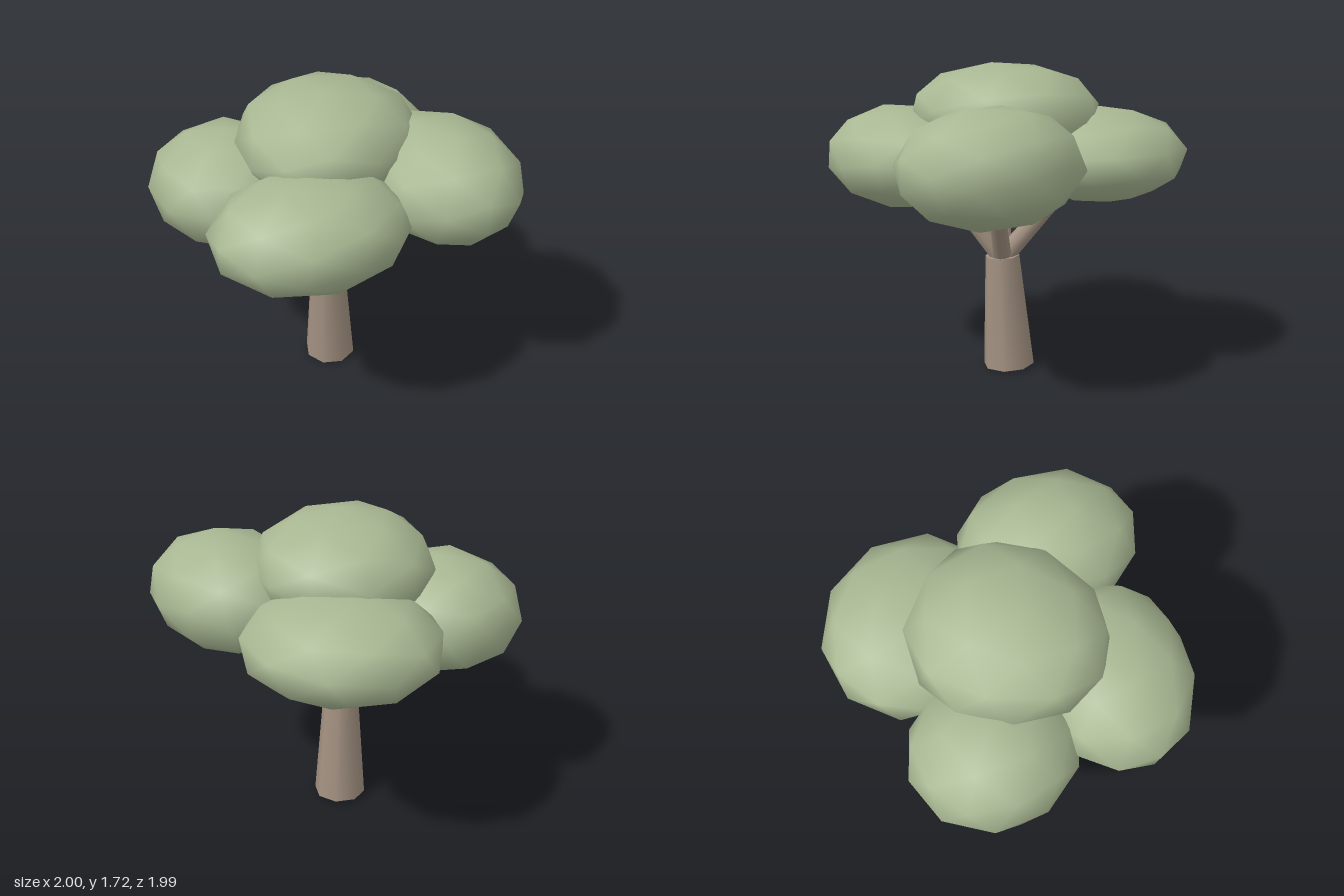
import * as THREE from 'three';
import { mergeVertices } from 'three/addons/utils/BufferGeometryUtils.js';

const leafGreen = new THREE.MeshStandardMaterial({ color: 0xa9b893 });
leafGreen.name = 'leafGreen';
const barkBrown = new THREE.MeshStandardMaterial({ color: 0xa19080, side: THREE.DoubleSide });
barkBrown.name = 'barkBrown';

// Low-poly, smooth-shaded foliage clump filling the box lo..hi.
// skew leans its plan along a diagonal, taper narrows it towards +z.
function clump(name, lo, hi, turn, skew = 0, taper = 0) {
  let geo = new THREE.IcosahedronGeometry(1, 1);
  geo.deleteAttribute('uv');
  geo.deleteAttribute('normal');
  geo = mergeVertices(geo);
  geo.rotateX(turn * 0.35);
  geo.rotateY(turn);
  const pos = geo.attributes.position;
  for (let i = 0; i < pos.count; i++) {
    const x = pos.getX(i);
    const z = pos.getZ(i);
    pos.setX(i, x * (1 - taper * z));
    pos.setZ(i, z * Math.sqrt(1 - skew * skew) + x * skew);
  }
  geo.computeBoundingBox();
  const box = new THREE.Box3(new THREE.Vector3(...lo), new THREE.Vector3(...hi));
  const from = geo.boundingBox.getSize(new THREE.Vector3());
  const mid = geo.boundingBox.getCenter(new THREE.Vector3());
  const scale = box.getSize(new THREE.Vector3()).divide(from);
  geo.translate(-mid.x, -mid.y, -mid.z);
  geo.scale(scale.x, scale.y, scale.z);
  geo.computeVertexNormals();
  const mesh = new THREE.Mesh(geo, leafGreen);
  mesh.position.copy(box.getCenter(new THREE.Vector3()));
  mesh.name = name;
  return mesh;
}

// Tapered, open-ended limb between two points
function limb(name, a, b, r0, r1) {
  const start = new THREE.Vector3(...a);
  const dir = new THREE.Vector3(...b).sub(start);
  const geo = new THREE.CylinderGeometry(r1, r0, dir.length(), 8, 1, true);
  const mesh = new THREE.Mesh(geo, barkBrown);
  mesh.position.copy(start).addScaledVector(dir, 0.5);
  mesh.quaternion.setFromUnitVectors(new THREE.Vector3(0, 1, 0), dir.normalize());
  mesh.name = name;
  return mesh;
}

export function createModel() {
  const tree = new THREE.Group();
  tree.name = 'tree';

  // Trunk with a closed top
  const trunk = limb('trunk', [-0.04, 0.011, -0.045], [-0.039, 0.652, -0.007], 0.145, 0.097);
  const cap = new THREE.Mesh(new THREE.CircleGeometry(0.097, 8), barkBrown);
  cap.name = 'trunkTop';
  cap.rotation.x = -Math.PI / 2;
  cap.position.y = trunk.geometry.parameters.height / 2;
  trunk.add(cap);
  tree.add(trunk);

  // Branches fan out to the four side clumps
  const tips = {
    leftBranch: [0.38, 1.11, -0.05],
    rightBranch: [-0.37, 0.98, 0.06],
    frontBranch: [0.01, 1.1, 0.35],
    backBranch: [-0.09, 1.1, -0.39],
  };
  for (const [name, tip] of Object.entries(tips)) {
    tree.add(limb(name, [-0.037, 0.635, -0.007], tip, 0.055, 0.042));
  }

  // Foliage
  tree.add(
    clump('topFoliage', [-0.54, 1.18, -0.535], [0.42, 1.727, 0.5], 0.4, 0, 0.1),
    clump('frontFoliage', [-0.44, 0.95, 0.06], [0.5, 1.48, 0.99], 1.3, -0.22),
    clump('backFoliage', [-0.615, 0.99, -1.0], [0.365, 1.485, -0.05], 2.2),
    clump('rightFoliage', [-1.0, 0.84, -0.33], [-0.11, 1.48, 0.545], 3.0, 0.06),
    clump('leftFoliage', [0.12, 0.975, -0.53], [1.0, 1.57, 0.395], 0.8, 0.2),
  );
  return tree;
}
